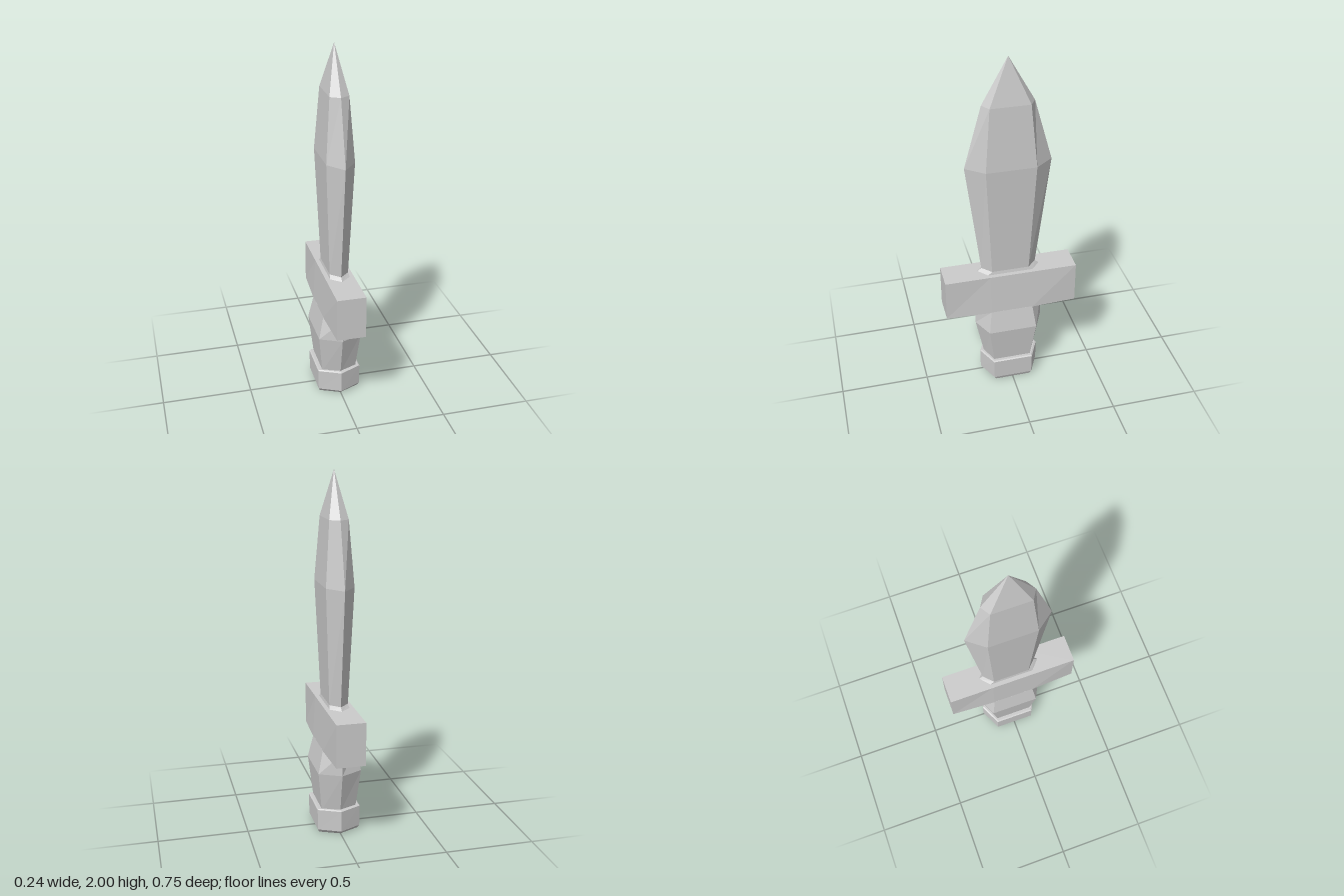
import * as THREE from 'three';

const material = new THREE.MeshStandardMaterial({ color: 0xcccccc, flatShading: true });

// Six-sided section: ridge points at z = ±outer, flat sides at x = ±half spanning z = ±inner
function section([y, half, inner, outer]) {
  return [[0, -outer], [-half, -inner], [-half, inner], [0, outer], [half, inner], [half, -inner]]
    .map(([x, z]) => [x, y, z]);
}

// Joins sections from bottom to top and caps both ends
function loft(name, rows) {
  const rings = rows.map(section);
  const p = [];
  const tri = (a, b, c) => p.push(...a, ...b, ...c);
  for (let r = 0; r < rings.length - 1; r++) {
    const lo = rings[r], hi = rings[r + 1];
    for (let i = 0; i < 6; i++) {
      const j = (i + 1) % 6;
      tri(lo[i], lo[j], hi[j]);
      if (rows[r + 1][3] > 0) tri(lo[i], hi[j], hi[i]);
    }
  }
  const bottom = rings[0], top = rings[rings.length - 1];
  for (let i = 1; i < 5; i++) {
    tri(bottom[0], bottom[i + 1], bottom[i]);
    if (rows[rows.length - 1][3] > 0) tri(top[0], top[i], top[i + 1]);
  }
  const geometry = new THREE.BufferGeometry();
  geometry.setAttribute('position', new THREE.Float32BufferAttribute(p, 3));
  geometry.computeVertexNormals();
  const mesh = new THREE.Mesh(geometry, material);
  mesh.name = name;
  return mesh;
}

// Crossguard: a box whose lower middle swells to meet the grip
function crossguard() {
  const geometry = new THREE.BoxGeometry(0.16, 0.24, 0.75, 1, 1, 3);
  const pos = geometry.attributes.position;
  for (let i = 0; i < pos.count; i++) {
    if (Math.abs(pos.getZ(i)) > 0.3) continue;
    pos.setZ(i, Math.sign(pos.getZ(i)) * 0.12);
    if (pos.getY(i) < 0) pos.setX(i, Math.sign(pos.getX(i)) * 0.093);
  }
  geometry.computeVertexNormals();
  const mesh = new THREE.Mesh(geometry, material);
  mesh.name = 'crossguard';
  mesh.position.y = 0.612;
  return mesh;
}

export function createModel() {
  const group = new THREE.Group();
  group.name = 'dagger';
  // Rows: height, half thickness, flat half width, ridge half width
  group.add(
    loft('pommel', [
      [0, 0.112, 0.1, 0.15],
      [0.02, 0.12, 0.112, 0.17],
      [0.14, 0.122, 0.114, 0.172],
      [0.145, 0.115, 0.11, 0.162],
    ]),
    loft('grip', [
      [0.13, 0.097, 0.106, 0.147],
      [0.365, 0.121, 0.137, 0.195],
      [0.495, 0.093, 0.12, 0.193],
    ]),
    crossguard(),
    loft('blade', [
      [0.73, 0.056, 0.13, 0.18],
      [0.75, 0.052, 0.105, 0.155],
      [1.4, 0.077, 0.137, 0.236],
      [1.75, 0.052, 0.108, 0.14],
      [2, 0, 0, 0],
    ]),
  );
  return group;
}
